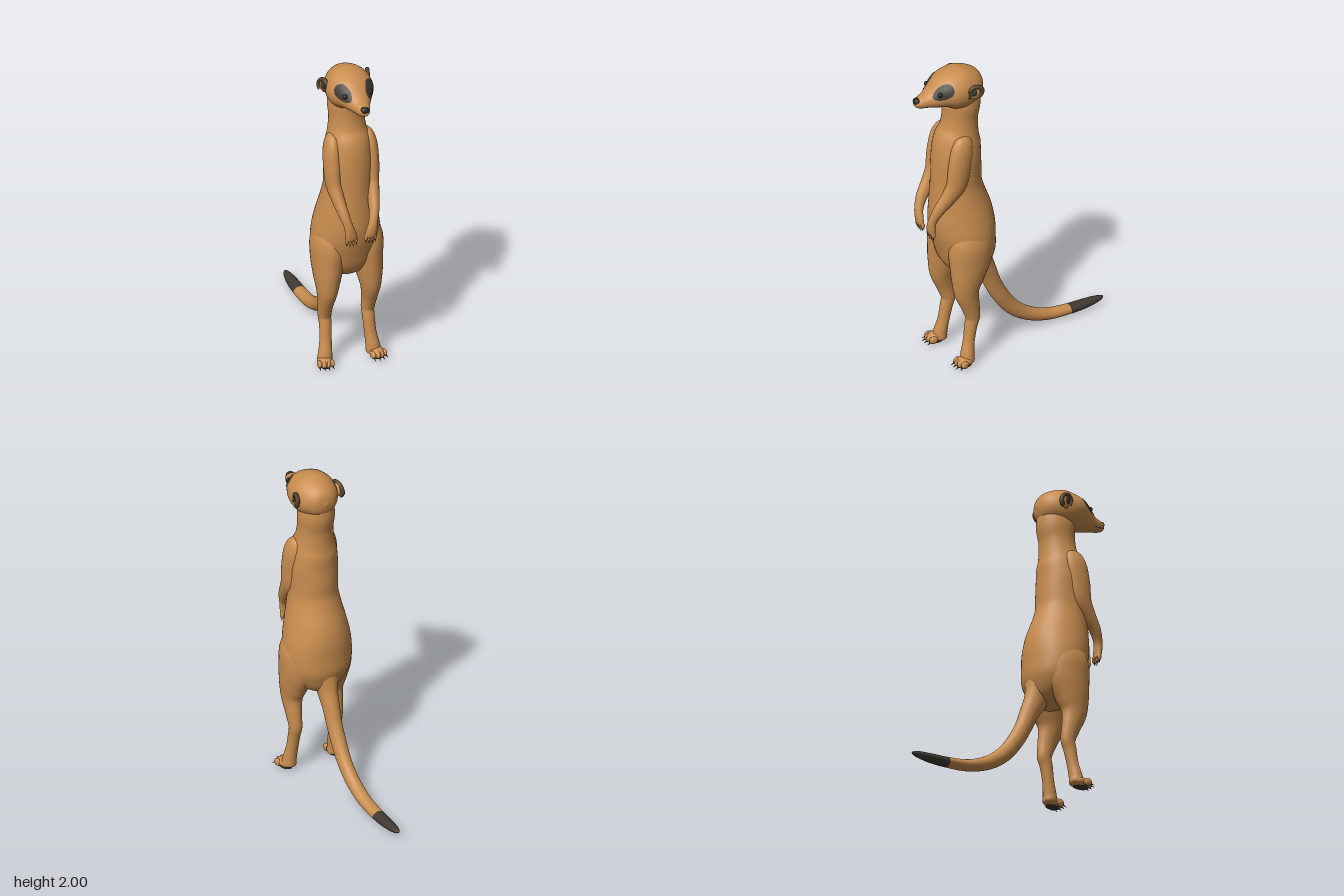
import * as THREE from 'three';

const mat = (name, color, side = THREE.FrontSide) => {
  const m = new THREE.MeshStandardMaterial({ color, side });
  m.name = name;
  return m;
};

// Smooth surface through elliptical sections [x, y, z, halfWidth, halfDepth]
function surface(sections, s = 1) {
  const curve = (pts) => new THREE.CatmullRomCurve3(pts, false, 'catmullrom', 0.5);
  const path = curve(sections.map(([x, y, z]) => new THREE.Vector3(x * s, y, z)));
  const radii = curve(sections.map((c) => new THREE.Vector3(c[3], c[4], 0)));
  return (t, angle, pad = 0) => {
    const T = path.getTangent(t), r = radii.getPoint(t);
    const side = new THREE.Vector3(1, 0, 0).addScaledVector(T, -T.x).normalize();
    const depth = T.clone().cross(side);
    return path.getPoint(t)
      .addScaledVector(side, (Math.max(r.x, 0.001) + pad) * Math.cos(angle))
      .addScaledVector(depth, (Math.max(r.y, 0.001) + pad) * Math.sin(angle));
  };
}

function indexed(pos, idx) {
  const g = new THREE.BufferGeometry();
  g.setAttribute('position', new THREE.Float32BufferAttribute(pos, 3));
  g.setIndex(idx);
  g.computeVertexNormals();
  return g;
}

// Skin over a surface between t0 and t1
function loft(at, t0 = 0, t1 = 1, rows = 48, cols = 32) {
  const pos = [], idx = [];
  for (let i = 0; i <= rows; i++)
    for (let j = 0; j < cols; j++)
      pos.push(...at(t0 + (t1 - t0) * i / rows, j / cols * Math.PI * 2).toArray());
  for (let i = 0; i < rows; i++)
    for (let j = 0; j < cols; j++) {
      const a = i * cols + j, b = i * cols + (j + 1) % cols;
      idx.push(a, b, a + cols, b, b + cols, a + cols);
    }
  return indexed(pos, idx);
}

// Thin oval marking that hugs a surface
function patch(at, t, angle, dt, da, pad = 0.004) {
  const pos = [], idx = [], rings = 6, n = 28;
  for (let i = 0; i <= rings; i++)
    for (let j = 0; j < n; j++) {
      const q = j / n * Math.PI * 2, r = i / rings;
      pos.push(...at(t + dt * r * Math.cos(q), angle + da * r * Math.sin(q), pad).toArray());
    }
  for (let i = 0; i < rings; i++)
    for (let j = 0; j < n; j++) {
      const a = i * n + j, b = i * n + (j + 1) % n;
      idx.push(a, a + n, b, b, a + n, b + n);
    }
  return indexed(pos, idx);
}

export function createModel() {
  const model = new THREE.Group();
  model.name = 'meerkat';
  const fur = mat('fur', 0xc98d4f);
  const dark = mat('darkFur', 0x3f3931, THREE.DoubleSide);
  const black = mat('noseAndClaws', 0x2a2724);
  const earRim = mat('earRim', 0x54432f);

  const add = (name, geo, material, parent = model) => {
    const m = new THREE.Mesh(geo, material);
    m.name = name;
    parent.add(m);
    return m;
  };
  const ball = (name, p, r, material, parent) => {
    const m = add(name, new THREE.SphereGeometry(1, 20, 14), material, parent);
    m.position.set(...p);
    m.scale.set(...r);
    return m;
  };
  // Claw pointing along a direction
  const claw = (p, dir, len, parent) => {
    const m = add('claw', new THREE.ConeGeometry(0.007, len, 8), black, parent);
    m.position.set(...p);
    m.quaternion.setFromUnitVectors(new THREE.Vector3(0, 1, 0), new THREE.Vector3(...dir).normalize());
  };

  // Neck and torso
  add('torso', loft(surface([
    [0, 1.84, 0.33, 0.1, 0.11], [0, 1.75, 0.333, 0.112, 0.118], [0, 1.66, 0.342, 0.108, 0.11],
    [0, 1.58, 0.35, 0.117, 0.118], [0, 1.5, 0.363, 0.138, 0.143], [0, 1.4, 0.37, 0.15, 0.15],
    [0, 1.3, 0.37, 0.148, 0.155], [0, 1.2, 0.37, 0.15, 0.158], [0, 1.1, 0.36, 0.167, 0.175],
    [0, 1.0, 0.345, 0.188, 0.194], [0, 0.9, 0.33, 0.207, 0.198], [0, 0.8, 0.315, 0.212, 0.185],
    [0, 0.7, 0.3, 0.195, 0.168], [0, 0.62, 0.285, 0.14, 0.125], [0, 0.575, 0.28, 0.07, 0.07],
    [0, 0.565, 0.28, 0.001, 0.001],
  ]), 0, 1, 80, 48), fur);

  // Head and muzzle
  const head = surface([
    [0, 1.865, 0.2, 0.001, 0.001], [0, 1.865, 0.22, 0.068, 0.068], [0, 1.865, 0.27, 0.115, 0.108],
    [0, 1.865, 0.35, 0.14, 0.135], [0, 1.867, 0.42, 0.14, 0.123], [0, 1.862, 0.47, 0.122, 0.103],
    [0, 1.847, 0.53, 0.086, 0.071], [0, 1.838, 0.58, 0.058, 0.048], [0, 1.835, 0.63, 0.04, 0.035],
    [0, 1.838, 0.655, 0.026, 0.022], [0, 1.838, 0.66, 0.001, 0.001],
  ]);
  add('head', loft(head, 0, 1, 70, 48), fur);
  ball('nose', [0, 1.848, 0.645], [0.028, 0.021, 0.021], black);

  // Tail with dark tip
  const tail = surface([
    [0, 0.74, 0.225, 0.09, 0.08], [0, 0.6, 0.198, 0.062, 0.075], [0, 0.5, 0.152, 0.051, 0.06],
    [0, 0.4, 0.112, 0.047, 0.053], [0, 0.3, 0.06, 0.045, 0.051], [0, 0.19, -0.02, 0.043, 0.048],
    [0, 0.105, -0.13, 0.042, 0.043], [0, 0.052, -0.27, 0.041, 0.036], [0, 0.037, -0.42, 0.04, 0.03],
    [0, 0.037, -0.53, 0.036, 0.027], [0, 0.041, -0.61, 0.026, 0.02], [0, 0.044, -0.65, 0.014, 0.012],
    [0, 0.045, -0.665, 0.001, 0.001],
  ]);
  add('tail', loft(tail, 0, 8 / 12), fur);
  add('tailTip', loft(tail, 8 / 12, 1, 24), dark);

  for (const s of [1, -1]) {
    const sideName = s > 0 ? 'left' : 'right';
    const turn = (a) => (s > 0 ? a : Math.PI - a);

    // Eye mask, eye and mouth line
    add(sideName + 'EyeMask', patch(head, 0.555, turn(0.62), 0.105, 0.46), dark);
    const eye = head(0.575, turn(0.6)).toArray();
    ball(sideName + 'Eye', eye, [0.015, 0.016, 0.015], black);
    add(sideName + 'Mouth', patch(head, 0.77, turn(-0.62), 0.08, 0.07, 0.002), dark);

    // Ear: fur lobe inside a dark curled rim
    const ear = new THREE.Group();
    ear.name = sideName + 'Ear';
    ear.position.set(0.143 * s, 1.878, 0.322);
    ear.rotation.y = s * (Math.PI / 2 - 0.3);
    model.add(ear);
    ball('earLobe', [0, -0.002, -0.006], [0.036, 0.046, 0.016], fur, ear);
    const rim = add('earRim', new THREE.TorusGeometry(0.036, 0.012, 10, 28, 4.9), earRim, ear);
    rim.scale.set(1, 1.25, 1.1);
    rim.rotation.z = s > 0 ? -1.0 : -0.75;
    ball('earHollow', [-0.008 * s, 0.004, 0.006], [0.018, 0.026, 0.01], dark, ear);

    // Arm
    add(sideName + 'Arm', loft(surface([
      [0.1, 1.575, 0.375, 0.001, 0.001], [0.108, 1.55, 0.38, 0.034, 0.05], [0.119, 1.48, 0.4, 0.048, 0.072],
      [0.122, 1.37, 0.42, 0.05, 0.074], [0.12, 1.26, 0.438, 0.046, 0.068], [0.112, 1.18, 0.488, 0.038, 0.052],
      [0.097, 1.1, 0.548, 0.031, 0.038], [0.079, 1.03, 0.58, 0.028, 0.027], [0.066, 0.97, 0.585, 0.036, 0.022],
      [0.061, 0.935, 0.581, 0.034, 0.017], [0.06, 0.92, 0.58, 0.001, 0.001],
    ], s)), fur);
    // Fingers and claws
    for (let i = 0; i < 4; i++) {
      const x = (0.031 + i * 0.02) * s, y = 0.928 + (i === 0 || i === 3 ? 0.006 : 0);
      ball('finger', [x, y, 0.582], [0.0105, 0.023, 0.013], fur);
      claw([x, y - 0.026, 0.583], [0, -1, 0.1], 0.03);
    }

    // Leg
    add(sideName + 'Leg', loft(surface([
      [0.11, 0.97, 0.33, 0.001, 0.001], [0.112, 0.92, 0.335, 0.07, 0.1], [0.118, 0.83, 0.34, 0.102, 0.138],
      [0.122, 0.72, 0.345, 0.1, 0.14], [0.132, 0.6, 0.368, 0.083, 0.11], [0.138, 0.5, 0.38, 0.063, 0.081],
      [0.141, 0.4, 0.357, 0.047, 0.06], [0.138, 0.31, 0.337, 0.04, 0.046], [0.138, 0.25, 0.35, 0.037, 0.04],
      [0.143, 0.15, 0.368, 0.037, 0.035], [0.152, 0.07, 0.383, 0.043, 0.041], [0.156, 0.025, 0.385, 0.042, 0.04],
      [0.156, 0.012, 0.385, 0.001, 0.001],
    ], s), 0, 1, 64), fur);

    // Foot, toes, claws and sole pad
    const foot = new THREE.Group();
    foot.name = sideName + 'Foot';
    foot.position.set(0.162 * s, 0, 0.395);
    foot.rotation.y = 0.15 * s;
    model.add(foot);
    ball('footPad', [0, 0.034, 0.012], [0.046, 0.03, 0.06], fur, foot);
    for (let i = 0; i < 4; i++) {
      const k = i - 1.5, z = 0.066 - Math.abs(k) * 0.01;
      ball('toe', [k * 0.025, 0.03, z - 0.008], [0.0145, 0.024, 0.028], fur, foot);
      claw([k * 0.027, 0.016, z + 0.022], [k * 0.15, -0.45, 1], 0.032, foot);
    }
    ball('solePad', [0, 0.004, 0.015], [0.034, 0.004, 0.048], dark, foot);
  }
  return model;
}
